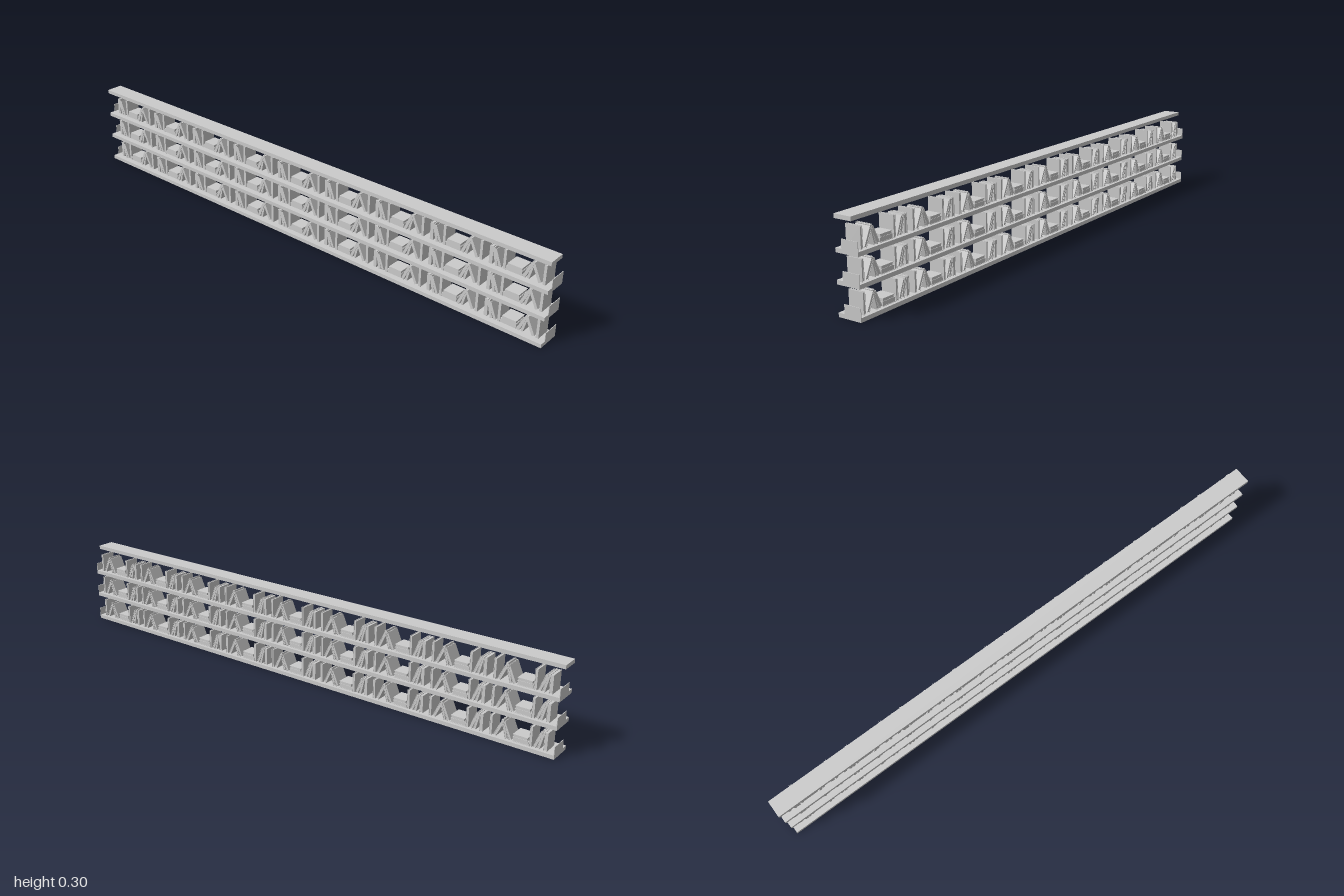
import * as THREE from 'three';

const material = new THREE.MeshStandardMaterial({ color: 0xcccccc, flatShading: true });

function box(name, w, h, d, x, y, z) {
  const mesh = new THREE.Mesh(new THREE.BoxGeometry(w, h, d), material);
  mesh.name = name;
  mesh.position.set(x, y, z);
  return mesh;
}

// Book standing on its base: two covers, a spine at the front and a recessed page block
function makeBook(t, h, d) {
  const book = new THREE.Group();
  const c = 0.0015;
  for (const s of [-1, 1]) {
    book.add(box('cover', c, h, d, s * (t - c) / 2, h / 2, 0));
  }
  book.add(box('spine', t - 2 * c, h, c, 0, h / 2, (d - c) / 2));
  book.add(box('pages', t - 2 * c, h - 0.004, d - 0.004, 0, h / 2, -0.0005));
  return book;
}

// Repeating arrangement: offset of the base, thickness, height, depth, lean, z
const STANDING = [
  [0.007, 0.012, 0.062, 0.053, 0, -0.005],
  [0.030, 0.009, 0.062, 0.056, 0.24, -0.004],
  [0.043, 0.009, 0.060, 0.056, 0.36, -0.004],
  [0.056, 0.009, 0.068, 0.055, 0, -0.005],
  [0.124, 0.010, 0.060, 0.056, -0.42, -0.004],
  [0.138, 0.008, 0.064, 0.054, -0.24, -0.005],
  [0.178, 0.010, 0.064, 0.055, 0.44, -0.005],
  [0.192, 0.009, 0.068, 0.055, 0, -0.005],
];
// Lying stack: offset of the centre, length, thickness, base height
const LYING = [
  [0.089, 0.056, 0.014, 0],
  [0.091, 0.050, 0.011, 0.014],
];

function makeBookSet() {
  const set = new THREE.Group();
  set.name = 'bookSet';
  for (const [x, t, h, d, lean, z] of STANDING) {
    const book = makeBook(t, h, d);
    book.name = lean ? 'leaningBook' : 'uprightBook';
    book.rotation.z = lean;
    book.position.set(x, Math.sin(Math.abs(lean)) * t / 2, z);
    set.add(book);
  }
  for (const [x, length, t, y] of LYING) {
    const book = makeBook(t, length, 0.052);
    book.name = 'lyingBook';
    book.rotation.z = Math.PI / 2;
    book.position.set(x + length / 2, y + t / 2, -0.005);
    set.add(book);
  }
  return set;
}

export function createModel() {
  const model = new THREE.Group();
  model.name = 'bookShelves';
  const thick = 0.0135;
  const bookSet = makeBookSet();

  for (const y of [0, 0.097, 0.191]) {
    const tier = new THREE.Group();
    tier.name = 'shelfTier';
    tier.position.y = y;
    tier.add(box('shelf', 2, thick, 0.085, 0, thick / 2, 0.0005));
    // Low thin plates closing both ends
    for (const s of [-1, 1]) {
      tier.add(box('endPlate', 0.002, 0.043, 0.062, s * 0.999, 0.0215, -0.011));
    }
    for (let i = 0; i < 9; i++) {
      const books = bookSet.clone();
      books.position.set(-0.972 + i * 0.2192, thick, 0);
      tier.add(books);
    }
    model.add(tier);
  }

  // Narrower top board
  model.add(box('topShelf', 2, thick, 0.063, 0, 0.296, 0.0115));
  return model;
}
